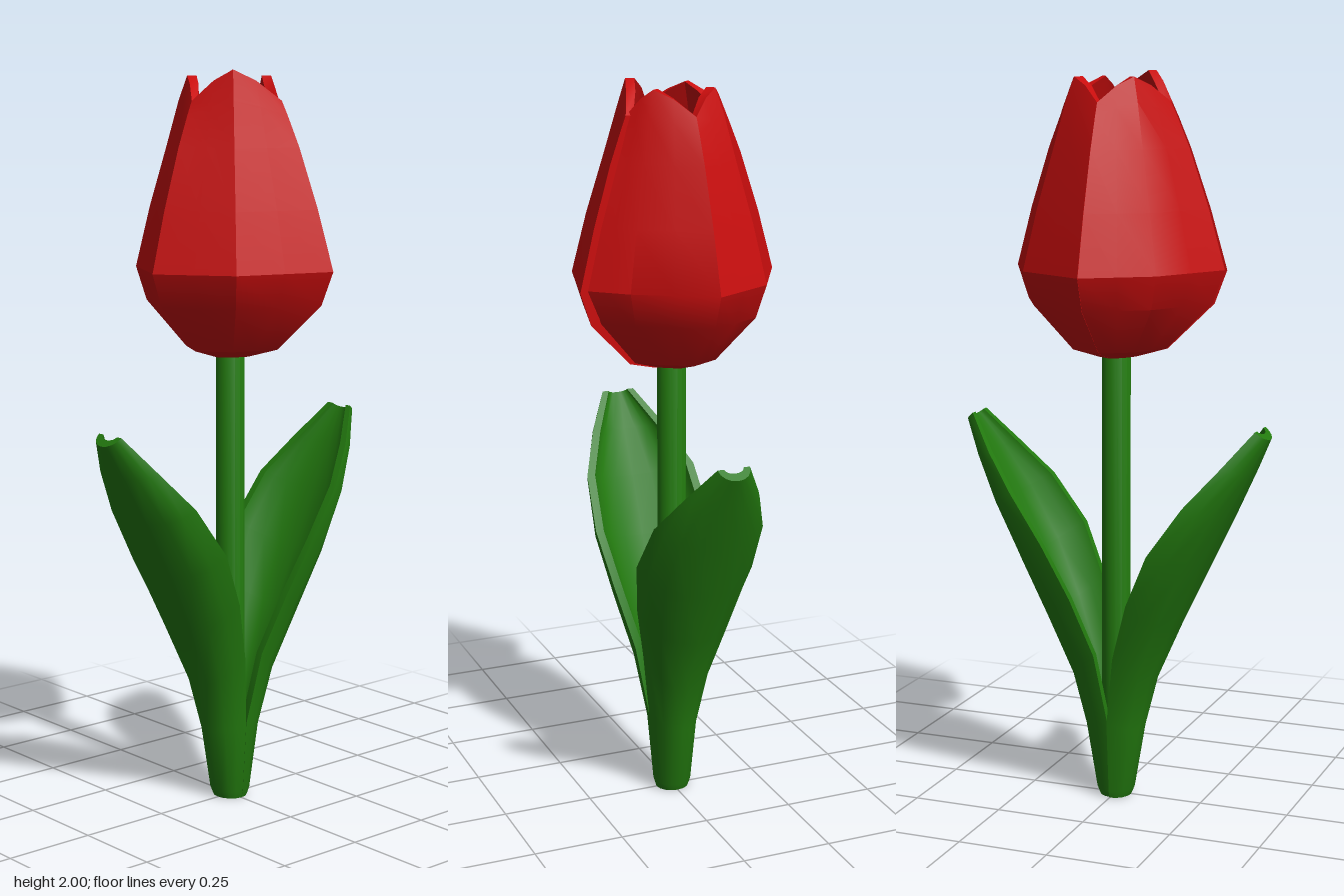
import * as THREE from 'three';
import { toCreasedNormals } from 'three/addons/utils/BufferGeometryUtils.js';

const red = new THREE.MeshStandardMaterial({ color: 0xc80d0d });
red.name = 'petalRed';
const green = new THREE.MeshStandardMaterial({ color: 0x237a0f });
green.name = 'leafGreen';

// Thick curved sheet: each row holds matching outer and inner points.
function slab(rows, crease) {
  const n = rows[0].outer.length, ring = 2 * n;
  const points = rows.flatMap(r => [...r.outer, ...[...r.inner].reverse()]);
  const index = [];
  const quad = (a, b, c, d) => index.push(a, b, c, a, c, d);
  for (let r = 0; r < rows.length - 1; r++) {
    for (let i = 0; i < ring; i++) {
      const j = (i + 1) % ring, a = r * ring, b = a + ring;
      quad(a + i, a + j, b + j, b + i);
    }
  }
  const last = (rows.length - 1) * ring;
  for (let i = 0; i < n - 1; i++) {
    quad(i, ring - 1 - i, ring - 2 - i, i + 1);
    quad(last + i, last + i + 1, last + ring - 2 - i, last + ring - 1 - i);
  }
  // Turn the faces outward when the enclosed volume is negative.
  let volume = 0;
  const cross = new THREE.Vector3();
  for (let i = 0; i < index.length; i += 3) {
    cross.crossVectors(points[index[i + 1]], points[index[i + 2]]);
    volume += points[index[i]].dot(cross);
  }
  if (volume < 0) index.reverse();
  const geometry = new THREE.BufferGeometry().setFromPoints(points);
  geometry.setIndex(index);
  return toCreasedNormals(geometry, crease);
}

// Petal: plan gives [x, z] of one edge, the middle and the other edge at the widest level.
function petal(plan, tipHeight) {
  const [a, m, b] = plan;
  const half = (p, q) => [(p[0] + q[0]) / 2, (p[1] + q[1]) / 2];
  const across = [a, half(a, m), m, half(m, b), b];
  const lift = [0, 0.65, 1, 0.65, 0];
  // height, scale, extra height and extra scale toward the petal middle
  const levels = [
    [1.24, 0.1, 0, 0], [1.24, 0.18, 0, 0], [1.265, 0.47, 0, 0], [1.39, 0.89, 0, 0],
    [1.48, 1, 0, 0], [1.64, 0.85, 0, 0], [1.8, 0.67, 0, 0],
    [1.88, 0.56, 0.04, -0.02], [1.92, 0.5, tipHeight - 1.92, -0.05],
  ];
  const rows = levels.map(([y, s, dy, ds], k) => {
    const outer = across.map(([x, z], i) => {
      const f = s + ds * lift[i];
      return new THREE.Vector3(x * f, y + dy * lift[i], z * f);
    });
    const inner = outer.map(p => {
      const f = Math.max(0.5, 1 - 0.025 / Math.hypot(p.x, p.z));
      return new THREE.Vector3(p.x * f, p.y + (k < 4 ? 0.02 : 0), p.z * f);
    });
    return { outer, inner };
  });
  return slab(rows, 0.5);
}

// Leaf: a cupped blade, half an ellipse in section, opening toward the stem.
function leaf(side) {
  // rib x, rib y, edge x, edge y, half width
  const stations = [
    [0.045, 0, 0, 0, 0.047], [0.053, 0.02, 0, 0.02, 0.053], [0.085, 0.2, 0, 0.22, 0.068],
    [0.12, 0.34, 0.03, 0.42, 0.098], [0.19, 0.5, 0.085, 0.585, 0.138],
    [0.265, 0.66, 0.155, 0.735, 0.166], [0.34, 0.82, 0.25, 0.87, 0.155],
    [0.40, 0.95, 0.335, 0.97, 0.105], [0.44, 1.04, 0.41, 1.065, 0.045],
  ];
  const rows = stations.map(([rx, ry, ex, ey, w]) => {
    const thick = Math.min(0.6, 0.028 / Math.hypot(ex - rx, ey - ry));
    const section = (start, width) => Array.from({ length: 9 }, (_, i) => {
      const t = (i / 4 - 1) * Math.PI / 2;
      const f = start + (1 - start) * (1 - Math.cos(t));
      const z = width * Math.sin(t) * (side < 0 ? 1.05 : 1);
      return new THREE.Vector3(side * (rx + (ex - rx) * f), ry + (ey - ry) * f, z - (side < 0 ? w * 0.06 : 0));
    });
    return { outer: section(0, w), inner: section(thick, w - Math.min(0.022, w * 0.4)) };
  });
  return slab(rows, 0.7);
}

export function createModel() {
  const model = new THREE.Group();
  model.name = 'tulip';
  const add = (name, geometry, material) => {
    const mesh = new THREE.Mesh(geometry, material);
    mesh.name = name;
    model.add(mesh);
  };

  // Stem with a pointed top inside the blossom
  const profile = [[0, 0], [0.04, 0], [0.039, 1.275], [0.025, 1.3], [0, 1.315]]
    .map(([r, y]) => new THREE.Vector2(r, y));
  add('stem', toCreasedNormals(new THREE.LatheGeometry(profile, 16), 0.6), green);

  add('leftLeaf', leaf(1), green);
  add('rightLeaf', leaf(-1), green);

  // Four petals meeting at overlapping seams
  add('frontRightPetal', petal([[0.1, 0.295], [-0.17, 0.22], [-0.3, 0.04]], 2), red);
  add('frontLeftPetal', petal([[0.28, -0.02], [0.16, 0.18], [0.07, 0.28]], 1.985), red);
  add('backLeftPetal', petal([[-0.01, -0.3], [0.19, -0.19], [0.28, -0.02]], 1.985), red);
  add('backRightPetal', petal([[-0.295, 0.035], [-0.18, -0.18], [-0.01, -0.298]], 1.985), red);

  return model;
}
